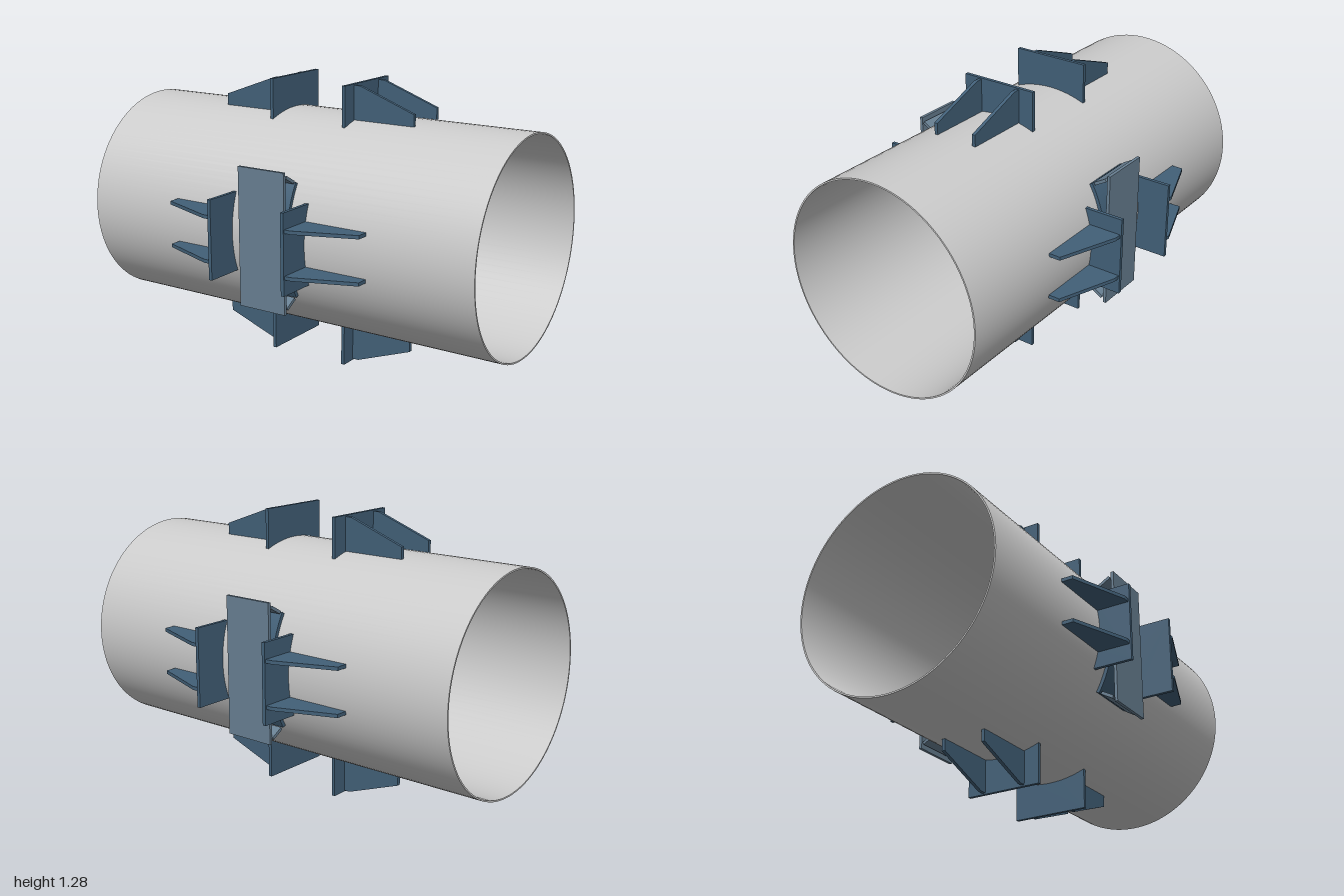
import * as THREE from 'three';
import { toCreasedNormals } from 'three/addons/utils/BufferGeometryUtils.js';

const R = 0.492, INNER = 0.485, CENTRE_Y = 0.642;

const steel = new THREE.MeshStandardMaterial({ color: 0xcccccc });
const darkBlue = new THREE.MeshStandardMaterial({ color: 0x426078 });
const paleBlue = new THREE.MeshStandardMaterial({ color: 0x687f92 });

function add(parent, name, geometry, material) {
  const mesh = new THREE.Mesh(geometry, material);
  mesh.name = name;
  parent.add(mesh);
  return mesh;
}

// Extrusion centred on its own thickness
function slab(shape, depth) {
  const g = new THREE.ExtrudeGeometry(shape, { depth, bevelEnabled: false, curveSegments: 24 });
  return g.translate(0, 0, -depth / 2);
}

// Stop: arched plate with two tapered gussets; local +y points away from the pipe
function makeStop() {
  const stop = new THREE.Group();
  stop.name = 'stop';
  const half = 0.18, a = Math.asin(half / R);
  const arch = new THREE.Shape();
  arch.moveTo(half, 0.64);
  arch.lineTo(-half, 0.64);
  arch.absarc(0, 0, R, Math.PI / 2 + a, Math.PI / 2 - a, true);
  arch.closePath();
  const plate = slab(arch, 0.016).rotateY(Math.PI / 2).translate(0.192, 0, 0);
  add(stop, 'stopPlate', plate, darkBlue);

  const profile = new THREE.Shape([
    [0.2, 0.482], [0.5, 0.482], [0.5, 0.535], [0.23, 0.634], [0.2, 0.634],
  ].map(([x, y]) => new THREE.Vector2(x, y)));
  for (const z of [-0.1, 0.1]) {
    add(stop, 'gusset', slab(profile, 0.016), darkBlue).position.z = z;
  }
  return stop;
}

// Saddle: curved pad, two radial webs and a flat bearing plate
function makeSaddle() {
  const saddle = new THREE.Group();
  saddle.name = 'saddle';
  const width = 0.24, a = Math.PI / 6 + 0.01, up = Math.PI / 2;
  const arc = new THREE.Shape();
  arc.absarc(0, 0, 0.508, up - a, up + a, false);
  arc.absarc(0, 0, R, up + a, up - a, true);
  arc.closePath();
  const pad = toCreasedNormals(slab(arc, width).rotateY(Math.PI / 2), 0.5);
  add(saddle, 'curvedPad', pad, darkBlue);

  for (const side of [-1, 1]) {
    const web = new THREE.BoxGeometry(width, 0.064, 0.014).translate(0, 0.55, 0);
    add(saddle, 'web', web, paleBlue).rotation.x = side * Math.PI / 6;
  }
  const bearing = new THREE.BoxGeometry(width, 0.014, 0.628).translate(0, 0.519, 0);
  add(saddle, 'bearingPlate', bearing, paleBlue);
  return saddle;
}

export function createModel() {
  const model = new THREE.Group();
  model.name = 'pipeSupport';
  const body = new THREE.Group();
  body.name = 'pipeAssembly';
  body.position.y = CENTRE_Y;
  model.add(body);

  // Open-ended thin pipe along x
  const wall = [[R, -1], [R, 1], [INNER, 1], [INNER, -1], [R, -1]]
    .map(([x, y]) => new THREE.Vector2(x, y));
  const pipe = toCreasedNormals(new THREE.LatheGeometry(wall, 96), 0.6).rotateZ(Math.PI / 2);
  add(body, 'pipe', pipe, steel);

  // Mirrored stops at every quarter turn, saddles front and back
  for (let i = 0; i < 4; i++) {
    const quarter = new THREE.Group();
    quarter.name = ['top', 'front', 'bottom', 'back'][i] + 'Fittings';
    quarter.rotation.x = i * Math.PI / 2;
    const left = makeStop(), right = makeStop();
    right.rotation.y = Math.PI;
    quarter.add(left, right);
    if (i % 2) quarter.add(makeSaddle());
    body.add(quarter);
  }
  return model;
}
